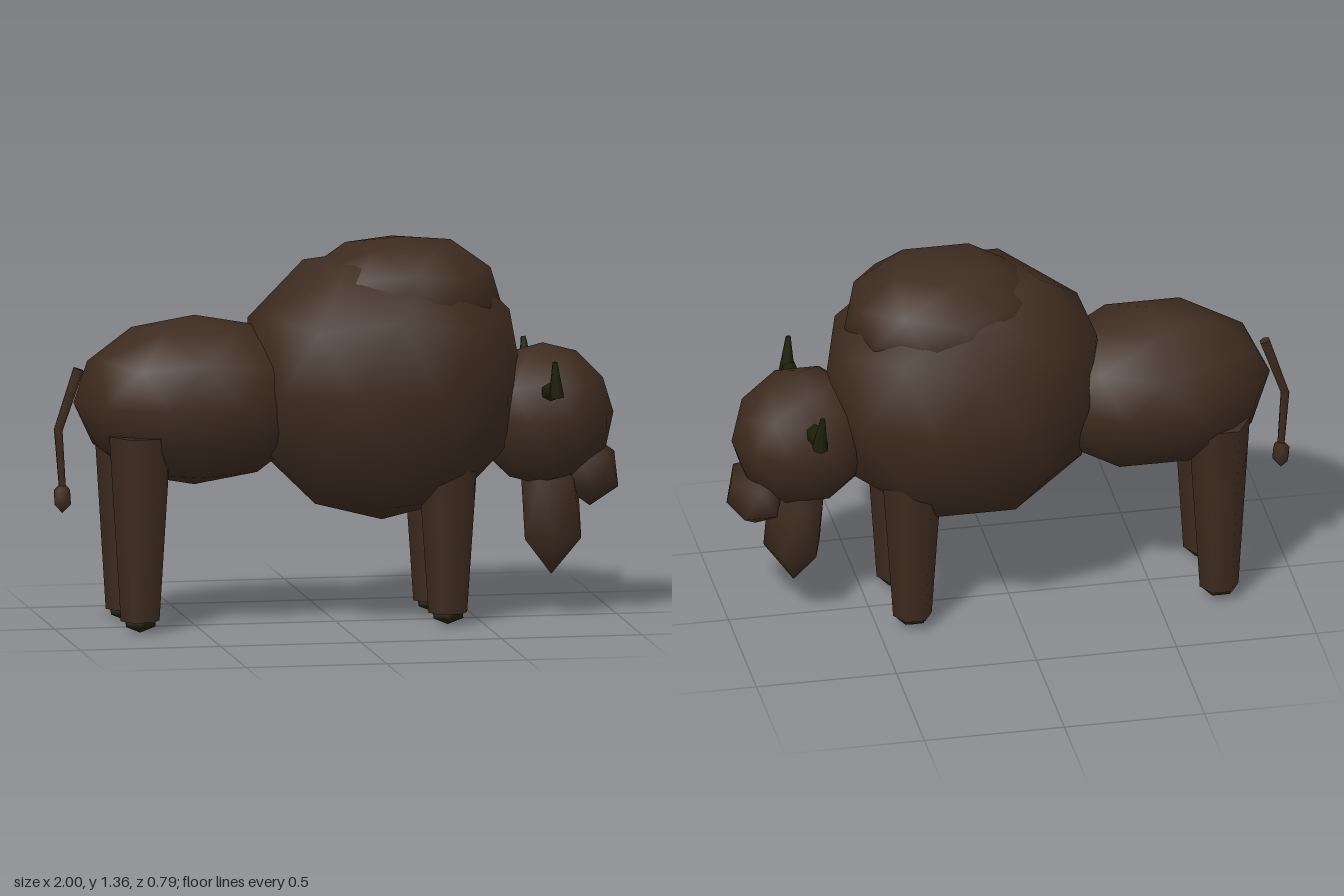
import * as THREE from 'three';
import { mergeVertices } from 'three/addons/utils/BufferGeometryUtils.js';

const fur = new THREE.MeshStandardMaterial({ color: 0x3d2b1f });
fur.name = 'brown fur';
const horn = new THREE.MeshStandardMaterial({ color: 0x1f1f0a });
horn.name = 'dark horn';

const MID = -0.012; // z of the centre line

export function createModel() {
  const model = new THREE.Group();
  model.name = 'bison';

  const add = (name, geometry, material) => {
    const mesh = new THREE.Mesh(geometry, material);
    mesh.name = name;
    model.add(mesh);
    return mesh;
  };

  // Smooth low-poly ellipsoid with a vertex at the top and bottom.
  // swell: scales the rings of vertices between the equator and the top.
  const blob = (name, [x, y, z], [rx, ry, rz], { detail = 1, swell = 1, material = fur } = {}) => {
    let g = new THREE.IcosahedronGeometry(1, detail);
    g.rotateZ(-Math.atan(2 / (1 + Math.sqrt(5)))).rotateY(Math.PI / 2);
    g.deleteAttribute('uv');
    g.deleteAttribute('normal');
    g = mergeVertices(g, 1e-3);
    const p = g.attributes.position;
    const v = new THREE.Vector3();
    for (let i = 0; i < p.count; i++) {
      v.fromBufferAttribute(p, i);
      if (v.y > 0.3 && v.y < 0.95) v.multiplyScalar(swell);
      p.setXYZ(i, v.x, v.y, v.z);
    }
    g.scale(rx, ry, rz).translate(x, y, z);
    g.computeVertexNormals();
    return add(name, g, material);
  };

  // Tapered six-sided rod between two points
  const rod = (name, from, to, r0, r1, material) => {
    const a = new THREE.Vector3(...from), b = new THREE.Vector3(...to);
    const dir = b.clone().sub(a);
    const mesh = add(name, new THREE.CylinderGeometry(r1, r0, dir.length(), 6), material);
    mesh.position.copy(a).add(b).multiplyScalar(0.5);
    mesh.quaternion.setFromUnitVectors(new THREE.Vector3(0, 1, 0), dir.normalize());
    return mesh;
  };

  // Body
  blob('hindquarters', [-0.5, 0.8, MID - 0.005], [0.43, 0.3, 0.303]);
  blob('chest', [0.165, 0.84, 0], [0.5, 0.48, 0.413], { swell: 1.07 });
  blob('hump', [0.232, 1.125, -0.002], [0.355, 0.235, 0.31], { swell: 1.06 });

  // Head
  blob('head', [0.738, 0.718, -0.005], [0.252, 0.252, 0.22]);
  blob('snout', [0.907, 0.515, MID], [0.111, 0.128, 0.143], { detail: 0 });
  blob('beard', [0.77, 0.385, MID], [0.118, 0.237, 0.132], { detail: 0 });

  for (const [side, s] of [['left', 1], ['right', -1]]) {
    // Horns: out from the head, then up
    const z = (d) => MID + s * d;
    rod(side + 'HornBase', [0.73, 0.815, z(0.14)], [0.73, 0.838, z(0.31)], 0.036, 0.024, horn);
    rod(side + 'HornTip', [0.735, 0.82, z(0.295)], [0.727, 0.945, z(0.31)], 0.029, 0.009, horn);

    // Legs and hooves
    for (const [end, x, top, rTop] of [['Front', 0.375, 0.6, 0.107], ['Hind', -0.72, 0.7, 0.11]]) {
      rod(side + end + 'Leg', [x, 0.045, z(0.147)], [x, top, z(0.147)], 0.069, rTop, fur).rotateY(Math.PI / 6);
      blob(side + end + 'Hoof', [x, 0.045, z(0.147)], [0.062, 0.042, 0.055], { detail: 0, material: horn });
    }
  }

  // Tail
  rod('tailRoot', [-0.912, 0.92, MID], [-0.985, 0.705, MID], 0.02, 0.016, fur);
  rod('tailEnd', [-0.985, 0.71, MID], [-0.97, 0.5, MID], 0.016, 0.013, fur);
  blob('tailTuft', [-0.97, 0.467, MID], [0.034, 0.056, 0.034], { detail: 0 });

  return model;
}
